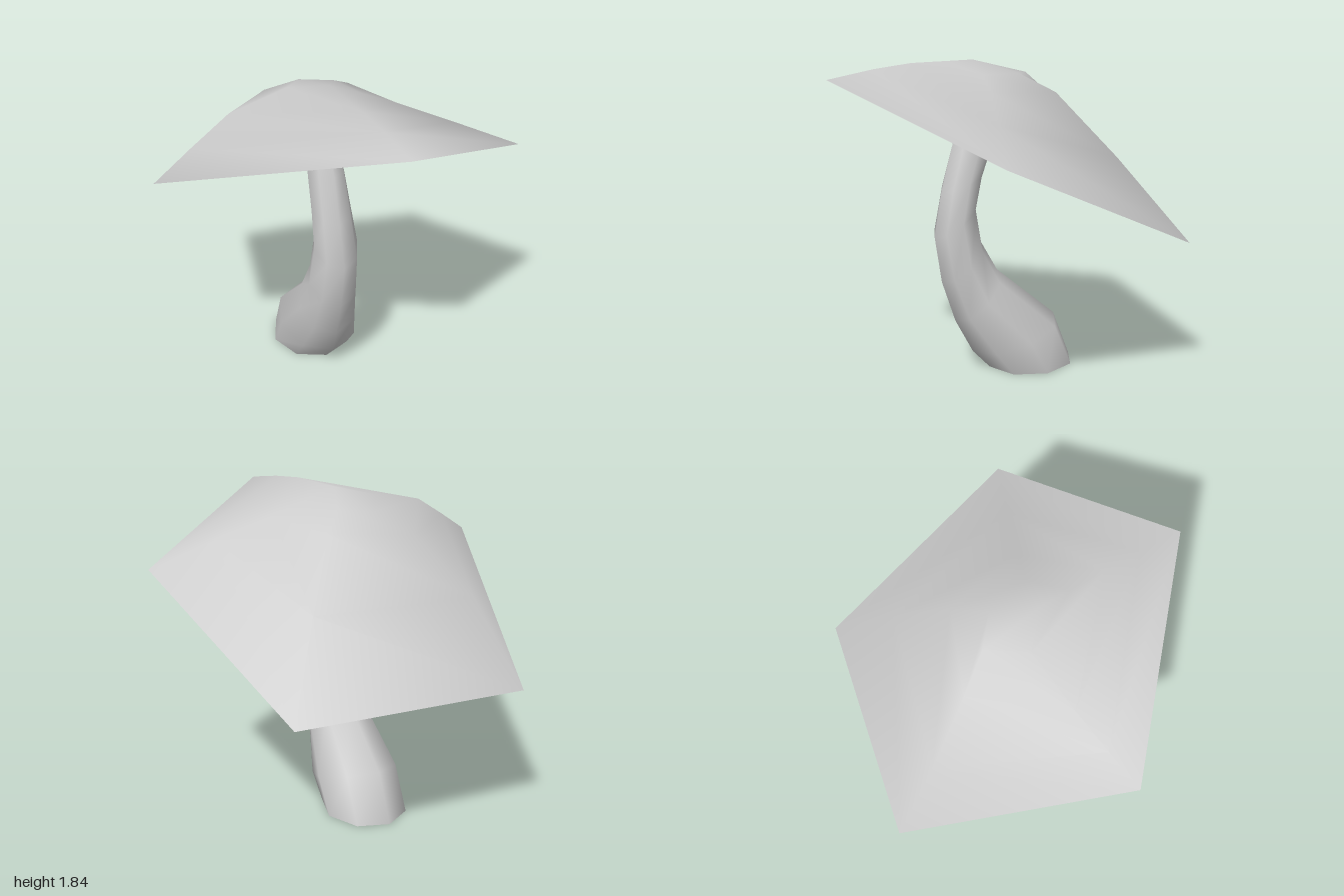
import * as THREE from 'three';

const grey = new THREE.MeshStandardMaterial({ color: 0xcccccc });
const greyThin = new THREE.MeshStandardMaterial({ color: 0xcccccc, side: THREE.DoubleSide });

// Skin closed rings of equal point count, ordered counterclockwise seen along the skin direction
function skin(rings, flip = false) {
  const n = rings[0].length, index = [];
  for (let r = 0; r < rings.length - 1; r++) {
    for (let i = 0; i < n; i++) {
      const a = r * n + i, b = r * n + (i + 1) % n, c = b + n, d = a + n;
      if (flip) index.push(a, d, c, a, c, b);
      else index.push(a, b, c, a, c, d);
    }
  }
  return { positions: rings.flat(2), index };
}

function toGeometry({ positions, index }) {
  const g = new THREE.BufferGeometry();
  g.setAttribute('position', new THREE.Float32BufferAttribute(positions, 3));
  g.setIndex(index);
  g.computeVertexNormals();
  return g;
}

function addMesh(group, name, geometry, material) {
  const mesh = new THREE.Mesh(geometry, material);
  mesh.name = name;
  group.add(mesh);
  return mesh;
}

// Trunk sections: front z, front y, back z, back y, centre x, half width
const SECTIONS = [
  [0.04, 0, -0.5, 0, 0.005, 0.24],
  [0.15, 0.12, -0.39, 0.28, 0.005, 0.24],
  [0.25, 0.32, -0.02, 0.6, -0.02, 0.18],
  [0.33, 0.57, 0.08, 0.78, -0.025, 0.148],
  [0.37, 0.84, 0.12, 1.02, -0.025, 0.13],
  [0.32, 1.1, 0.07, 1.2, -0.035, 0.115],
  [0.25, 1.36, 0.0, 1.36, -0.04, 0.105],
  [0.16, 1.58, -0.05, 1.54, -0.045, 0.08],
  [0.08, 1.71, -0.08, 1.7, -0.05, 0.06],
];

function buildTrunk(group) {
  const sides = 8;
  const rings = SECTIONS.map(([fz, fy, bz, by, cx, hw]) =>
    Array.from({ length: sides }, (_, i) => {
      const a = (i / sides) * Math.PI * 2, t = (1 - Math.cos(a)) / 2;
      return [cx + hw * Math.sin(a), fy + (by - fy) * t, fz + (bz - fz) * t];
    }));
  addMesh(group, 'trunk', toGeometry(skin(rings)), grey);

  // Flat ends with their own vertices keep the rims sharp
  const cap = (ring, up) => {
    const index = [];
    for (let i = 1; i < sides - 1; i++) index.push(0, up ? i : i + 1, up ? i + 1 : i);
    return toGeometry({ positions: ring.flat(), index });
  };
  addMesh(group, 'trunkBase', cap(rings[0], false), grey);
  addMesh(group, 'trunkTop', cap(rings[rings.length - 1], true), grey);
}

// Canopy ribs from near the crown to the leaf tip, counterclockwise from above
const CROWN = [-0.02, 1.84, 0.13];
const RIBS = [
  [[-0.01, 1.84, 0.3], [0, 1.84, 0.5], [0.02, 1.82, 0.72], [0.04, 1.78, 0.98]],
  [[0.16, 1.775, 0.15], [0.35, 1.705, 0.19], [0.65, 1.585, 0.29], [1, 1.44, 0.41]],
  [[0.1, 1.765, -0.1], [0.25, 1.67, -0.25], [0.5, 1.33, -0.5], [0.79, 0.88, -0.8]],
  [[-0.06, 1.75, -0.22], [-0.2, 1.64, -0.4], [-0.38, 1.34, -0.69], [-0.5, 0.88, -0.99]],
  [[-0.2, 1.8, -0.02], [-0.55, 1.73, 0.04], [-0.78, 1.605, 0.11], [-1, 1.48, 0.18]],
];

function buildCanopy(group) {
  const rings = [0, 1, 2, 3].map((k) => RIBS.map((rib) => rib[k]));
  const { positions, index } = skin(rings, true);
  const crown = positions.length / 3;
  positions.push(...CROWN);
  for (let i = 0; i < RIBS.length; i++) index.push(crown, i, (i + 1) % RIBS.length);
  // Rings run outward, so the quads are wound to face up
  addMesh(group, 'leafCanopy', toGeometry({ positions, index }), greyThin);
}

function buildCoconuts(group) {
  for (const [name, x] of [['rightCoconut', -0.115], ['leftCoconut', 0.065]]) {
    const nut = addMesh(group, name, new THREE.SphereGeometry(0.18, 10, 8), grey);
    nut.position.set(x, 1.5, -0.14);
  }
}

export function createModel() {
  const group = new THREE.Group();
  group.name = 'palmTree';
  buildTrunk(group);
  buildCanopy(group);
  buildCoconuts(group);
  return group;
}
